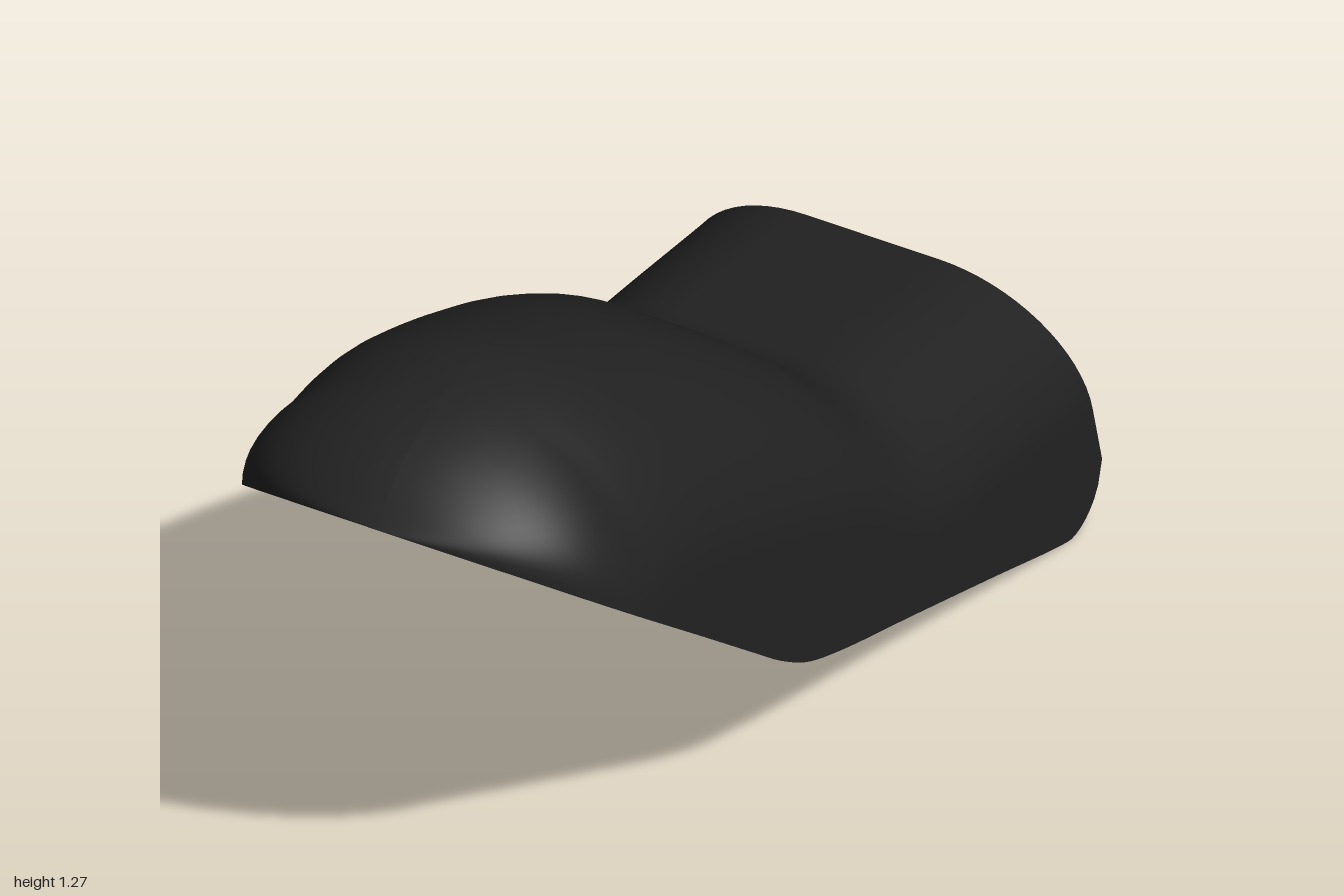
import * as THREE from 'three';

const DARK = 0x222222;

// Turns a few [z, y] points into a smooth height function y(z); z runs from front to back
function profile(points) {
  const curve = new THREE.CatmullRomCurve3(points.map(([z, y]) => new THREE.Vector3(0, y, z)), false, 'centripetal');
  const samples = curve.getPoints(400);
  return (z) => {
    for (let i = 1; i < samples.length; i++) {
      const a = samples[i - 1], b = samples[i];
      if (z <= a.z && z >= b.z && a.z > b.z) return a.y + (b.y - a.y) * (a.z - z) / (a.z - b.z);
    }
    return z > samples[0].z ? samples[0].y : samples[samples.length - 1].y;
  };
}

// Lower edge: sloping cut, bend, long straight run, rounded rear corner
const bottomY = profile([
  [1, 1.13], [0.8, 0.957], [0.5, 0.7], [0.3, 0.528], [0.22, 0.46], [0.12, 0.39], [0, 0.335],
  [-0.3, 0.222], [-0.6, 0.108], [-0.84, 0.016], [-0.89, 0.002], [-0.94, 0.014], [-0.98, 0.05], [-1, 0.11],
]);

const OUTER = {
  top: profile([
    [1, 1.13], [0.93, 1.19], [0.85, 1.235], [0.75, 1.263], [0.65, 1.27], [0.55, 1.257], [0.4, 1.2], [0.2, 1.1],
    [0, 0.96], [-0.15, 0.83], [-0.25, 0.73], [-0.32, 0.67], [-0.38, 0.638], [-0.45, 0.62], [-0.65, 0.584], [-0.89, 0.54],
  ]),
  tip: 1, shoulder: 0.7, end: -0.89, frontWidth: 0.41, backWidth: 0.42, frontArch: 0.4, backArch: 0.29,
};
const INNER = {
  top: profile([
    [0.953, 1.09], [0.9, 1.135], [0.83, 1.175], [0.75, 1.197], [0.65, 1.203], [0.55, 1.188], [0.4, 1.125], [0.2, 1.015],
    [0, 0.87], [-0.15, 0.745], [-0.25, 0.647], [-0.35, 0.572], [-0.43, 0.55], [-0.65, 0.511], [-0.909, 0.466],
  ]),
  tip: 0.953, shoulder: 0.68, end: -0.909, frontWidth: 0.345, backWidth: 0.35, frontArch: 0.33, backArch: 0.215,
};

const NOSE = 24, BODY = 70;
const { lerp, smoothstep } = THREE.MathUtils;

// Arch cross-sections from the nose tip to the back end
function crossSections(s) {
  const rows = [];
  for (let i = 0; i <= NOSE + BODY; i++) {
    const u = (i - NOSE) / BODY;
    const a = (i / NOSE) * Math.PI / 2;
    const zT = i < NOSE ? lerp(s.shoulder, s.tip, Math.cos(a)) : lerp(s.shoulder, s.end, Math.sin(u * Math.PI / 2) * 0.5 + u * 0.5);
    // The last part leans back to meet the slanted rear end
    const lean = Math.max(0, (-0.5 - zT) / (-0.5 - s.end));
    const zB = zT < -0.5 ? lerp(-0.5, -1, lean) : zT;
    const yT = s.top(zT), yB = bottomY(zB);
    const height = Math.max(0, yT - yB);
    const back = 1 - smoothstep(zT, -0.4, 0.3);
    const width = i < NOSE ? s.frontWidth * Math.sin(a) : lerp(s.backWidth, s.frontWidth, smoothstep(zT, 0, 0.7));
    const arch = Math.min(height, lerp(s.frontArch, s.backArch, back));
    const flat = 0.14 * back;

    const half = [];
    for (let k = 0; k < 6; k++) half.push([width, (height - arch) * k / 6]);
    for (let k = 0; k <= 16; k++) {
      const t = (k / 16) * Math.PI / 2;
      half.push([flat + (width - flat) * Math.cos(t), height - arch + arch * Math.sin(t)]);
    }
    const outline = [...half, [0, height], ...half.slice().reverse().map(([x, h]) => [-x, h])];
    rows.push(outline.map(([x, h]) => {
      const v = height > 0 ? h / height : 0;
      return new THREE.Vector3(x, lerp(yB, yT, v), lerp(zB, zT, v));
    }));
  }
  return rows;
}

// Skin over rows of points
function skin(rows, flip = false) {
  const n = rows[0].length, index = [];
  for (let i = 0; i < rows.length - 1; i++) {
    for (let j = 0; j < n - 1; j++) {
      const a = i * n + j, b = a + 1, c = a + n, d = c + 1;
      if (flip) index.push(a, b, c, b, d, c);
      else index.push(a, c, b, b, c, d);
    }
  }
  const geometry = new THREE.BufferGeometry().setFromPoints(rows.flat());
  geometry.setIndex(index);
  geometry.computeVertexNormals();
  return geometry;
}

export function createModel() {
  const group = new THREE.Group();
  group.name = 'curvedCover';
  const material = new THREE.MeshStandardMaterial({ color: DARK, side: THREE.DoubleSide });
  const add = (name, geometry) => {
    const mesh = new THREE.Mesh(geometry, material);
    mesh.name = name;
    group.add(mesh);
    return mesh;
  };

  const outer = crossSections(OUTER), inner = crossSections(INNER);
  const last = outer.length - 1, end = outer[0].length - 1;

  // Shell surfaces
  add('outerShell', skin(outer));
  add('innerShell', skin(inner, true));

  // Flat rims joining the two surfaces
  add('leftLowerRim', skin([outer.map((r) => r[0]), inner.map((r) => r[0])]));
  add('rightLowerRim', skin([outer.map((r) => r[end]), inner.map((r) => r[end])], true));
  add('rearRim', skin([outer[last], inner[last]]));

  // Thin pad under the hump
  const pad = add('innerPad', new THREE.BoxGeometry(0.265, 0.04, 0.52));
  pad.position.set(0, 0.9, 0.075);
  pad.rotation.x = -0.61;

  return group;
}
